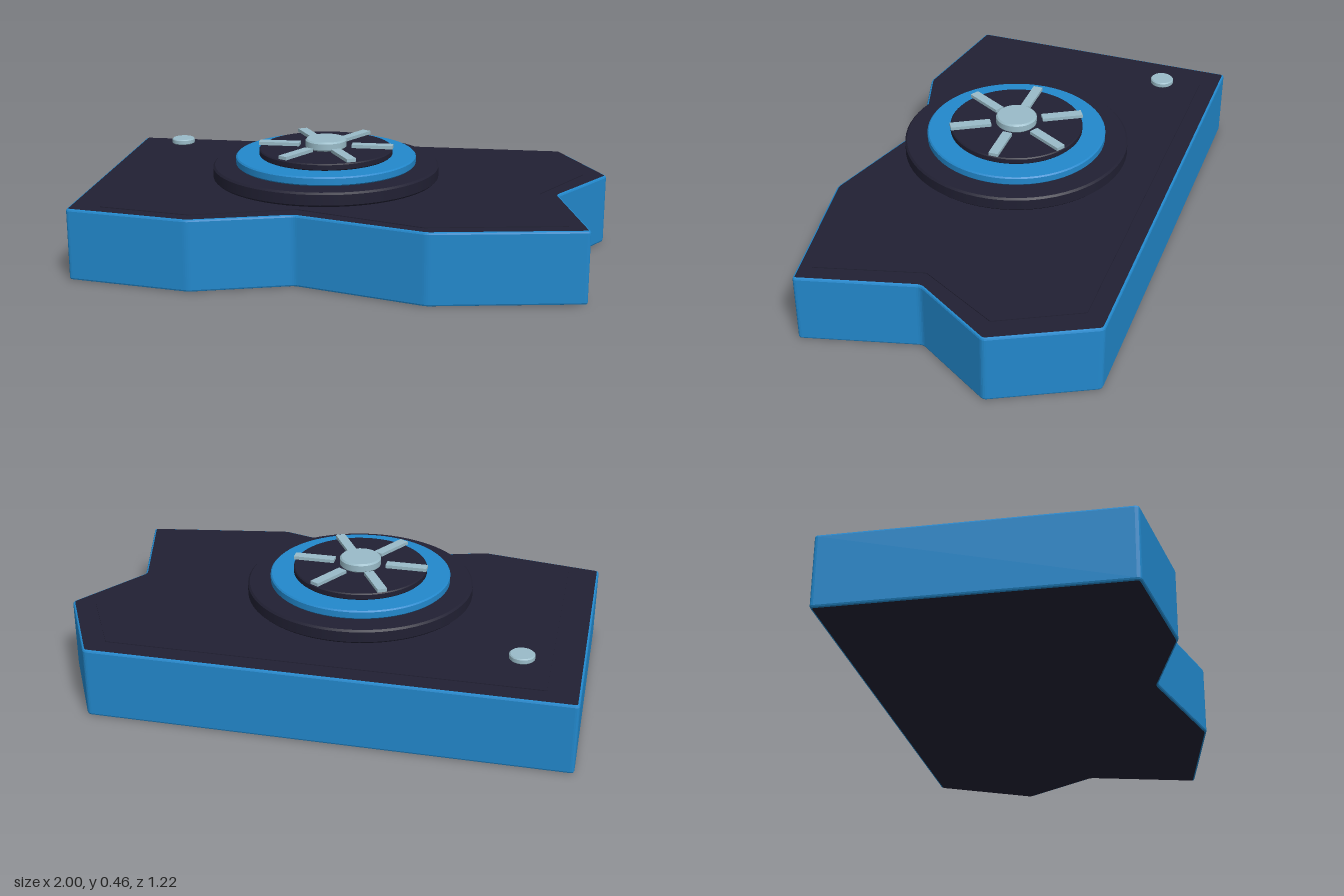
import * as THREE from 'three';

const mat = (name, color) => new THREE.MeshStandardMaterial({ name, color });

// Closed shape in (x, z) with slightly rounded corners
function roundedShape(points, r) {
  const pts = points.map(([x, z]) => new THREE.Vector2(x, z));
  const toward = (a, b) => a.clone().add(b.clone().sub(a).setLength(r));
  const shape = new THREE.Shape();
  pts.forEach((p, i) => {
    const prev = pts[(i + pts.length - 1) % pts.length];
    const next = pts[(i + 1) % pts.length];
    const a = toward(p, prev), b = toward(p, next);
    if (i === 0) shape.moveTo(a.x, a.y);
    else shape.lineTo(a.x, a.y);
    shape.quadraticCurveTo(p.x, p.y, b.x, b.y);
  });
  shape.closePath();
  return shape;
}

// Horizontal slab between two heights
function slab(points, bottom, top, bevel, corner) {
  const geo = new THREE.ExtrudeGeometry(roundedShape(points, corner), {
    depth: top - bottom - 2 * bevel,
    bevelEnabled: bevel > 0,
    bevelSize: bevel,
    bevelThickness: bevel,
    bevelOffset: -bevel,
    bevelSegments: 2,
    curveSegments: 4,
  });
  geo.rotateX(Math.PI / 2);
  geo.translate(0, top - bevel, 0);
  return geo;
}

// Disc with chamfered rims, flat faces kept crisp by doubled profile points
function disc(radius, bottom, top, bevel) {
  const p = [
    [0, bottom], [radius - bevel, bottom], [radius - bevel, bottom],
    [radius, bottom + bevel], [radius, bottom + bevel],
    [radius, top - bevel], [radius, top - bevel],
    [radius - bevel, top], [radius - bevel, top], [0, top],
  ].map(([x, y]) => new THREE.Vector2(x, y));
  return new THREE.LatheGeometry(p, 64);
}

export function createModel() {
  const blue = mat('blue', 0x2288cc);
  const navy = mat('navy', 0x212033);
  const steel = mat('paleSteel', 0x99bbc8);

  const model = new THREE.Group();
  model.name = 'deviceWithDial';
  const add = (parent, name, geo, material) => {
    const mesh = new THREE.Mesh(geo, material);
    mesh.name = name;
    parent.add(mesh);
    return mesh;
  };

  // Notched body: navy top and bottom, blue sides
  const outline = [
    [-1, -0.612], [0.815, -0.612], [1.004, -0.24], [0.81, 0.065], [0.925, 0.508],
    [0.35, 0.606], [-0.15, 0.462], [-0.525, 0.575], [-1, 0.5],
  ];
  add(model, 'body', slab(outline, 0, 0.277, 0.008, 0.015), [navy, blue]);

  // Thin inset panel on the top
  const inset = [
    [-0.88, -0.532], [0.755, -0.532], [0.91, -0.235], [0.738, 0.07], [0.845, 0.468],
    [0.335, 0.553], [-0.15, 0.395], [-0.53, 0.516], [-0.88, 0.46],
  ];
  add(model, 'topPanel', slab(inset, 0.275, 0.28, 0, 0.005), navy);

  // Stepped dial
  const dial = new THREE.Group();
  dial.name = 'dial';
  dial.position.set(-0.095, 0, 0.03);
  model.add(dial);
  add(dial, 'dialBase', disc(0.44, 0.312, 0.366, 0.007), navy);
  add(dial, 'dialRing', disc(0.351, 0.366, 0.4, 0.005), blue);
  add(dial, 'dialFace', disc(0.26, 0.4, 0.426, 0.004), navy);
  add(dial, 'dialHub', disc(0.08, 0.426, 0.462, 0.006), steel);

  // Six spokes around the hub
  for (let i = 0; i < 6; i++) {
    const geo = new THREE.BoxGeometry(0.16, 0.013, 0.038);
    geo.translate(0.183, 0.4365, 0);
    geo.rotateY((i * Math.PI) / 3);
    add(dial, 'spoke', geo, steel);
  }

  // Small button in the back corner
  const button = add(model, 'button', disc(0.047, 0.316, 0.338, 0.004), steel);
  button.position.set(-0.775, 0, -0.387);

  return model;
}
